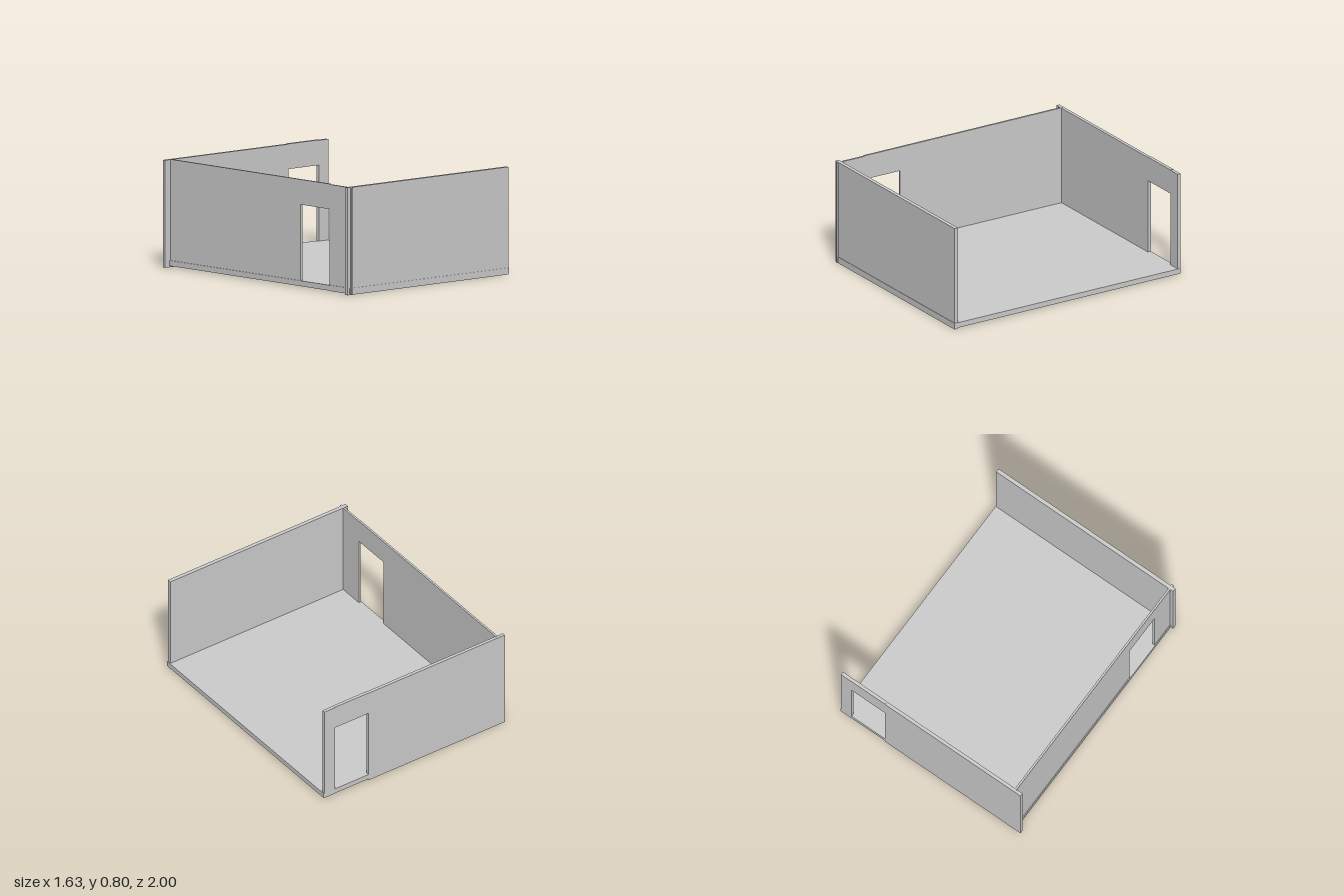
import * as THREE from 'three';

const material = new THREE.MeshStandardMaterial({ color: 0xcccccc, flatShading: true });

// Box given by its lower and upper limits on each axis
function slab(name, [x0, x1], [y0, y1], [z0, z1]) {
  const mesh = new THREE.Mesh(new THREE.BoxGeometry(x1 - x0, y1 - y0, z1 - z0), material);
  mesh.name = name;
  mesh.position.set((x0 + x1) / 2, (y0 + y1) / 2, (z0 + z1) / 2);
  return mesh;
}

export function createModel() {
  const room = new THREE.Group();
  room.name = 'openRoom';
  const floorTop = 0.05, doorTop = 0.615, wallTop = 0.8;

  room.add(slab('floor', [-0.775, 0.815], [0.01, floorTop], [-0.998, 0.99]));
  room.add(slab('frontWall', [-0.795, 0.81], [0, wallTop], [0.957, 0.987]));

  // Back wall: long panel, lintel over the doorway, narrow end panel
  const backWall = new THREE.Group();
  backWall.name = 'backWall';
  const backZ = [-1, -0.974];
  backWall.add(
    slab('backPanel', [-0.82, 0.41], [0, wallTop], backZ),
    slab('backLintel', [0.41, 0.715], [doorTop, wallTop + 0.003], backZ),
    slab('backEndPanel', [0.715, 0.81], [0.01, wallTop], backZ)
  );

  // Side wall: its narrow end panel runs through the front wall
  const sideWall = new THREE.Group();
  sideWall.name = 'sideWall';
  const sideX = [-0.768, -0.752];
  sideWall.add(
    slab('sidePanel', sideX, [0.03, wallTop + 0.002], [-0.985, 0.445]),
    slab('sideLintel', sideX, [doorTop, wallTop + 0.002], [0.445, 0.758]),
    slab('sideEndPanel', sideX, [0.006, wallTop - 0.002], [0.758, 1])
  );

  room.add(backWall, sideWall);
  return room;
}
